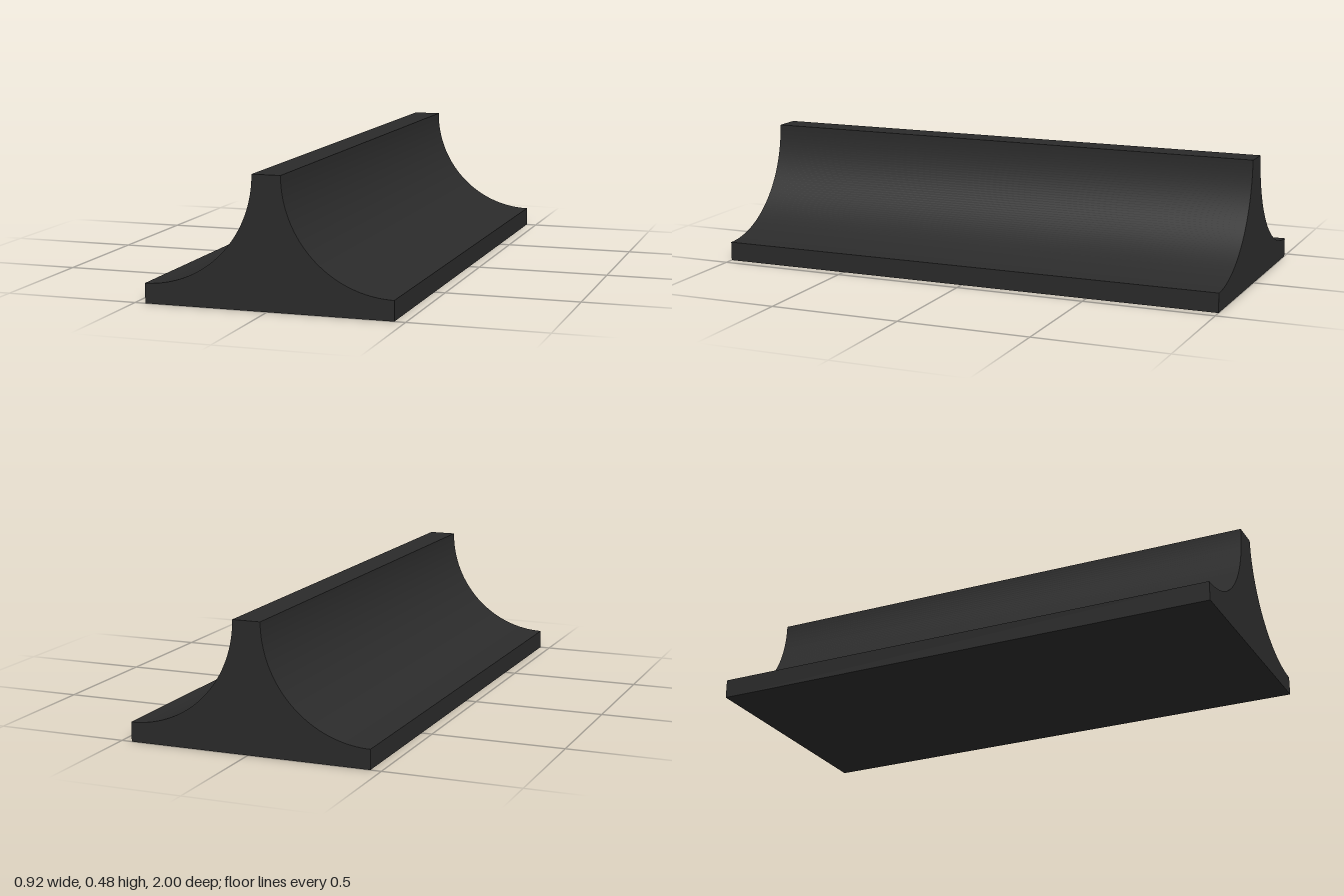
import * as THREE from 'three';
import { toCreasedNormals } from 'three/addons/utils/BufferGeometryUtils.js';

const HALF_WIDTH = 0.46, HEIGHT = 0.48, LIP = 0.073, LENGTH = 2;
const RADIUS = HEIGHT - LIP;

export function createModel() {
  const group = new THREE.Group();
  group.name = 'coveMoulding';

  // Cross-section: flat base, two concave quarter circles, narrow flat ridge
  const profile = new THREE.Shape();
  profile.moveTo(-HALF_WIDTH, 0);
  profile.lineTo(HALF_WIDTH, 0);
  profile.lineTo(HALF_WIDTH, LIP);
  profile.absarc(HALF_WIDTH, HEIGHT, RADIUS, -Math.PI / 2, -Math.PI, true);
  profile.lineTo(-HALF_WIDTH + RADIUS, HEIGHT);
  profile.absarc(-HALF_WIDTH, HEIGHT, RADIUS, 0, -Math.PI / 2, true);
  profile.closePath();

  // Straight extrusion, smooth along the coves with sharp edges elsewhere
  const extrusion = new THREE.ExtrudeGeometry(profile, {
    depth: LENGTH, bevelEnabled: false, curveSegments: 32,
  });
  extrusion.translate(0, 0, -LENGTH / 2);

  const body = new THREE.Mesh(
    toCreasedNormals(extrusion, 0.5),
    new THREE.MeshStandardMaterial({ color: 0x2b2b2b })
  );
  body.name = 'doubleCoveBody';
  group.add(body);
  return group;
}
